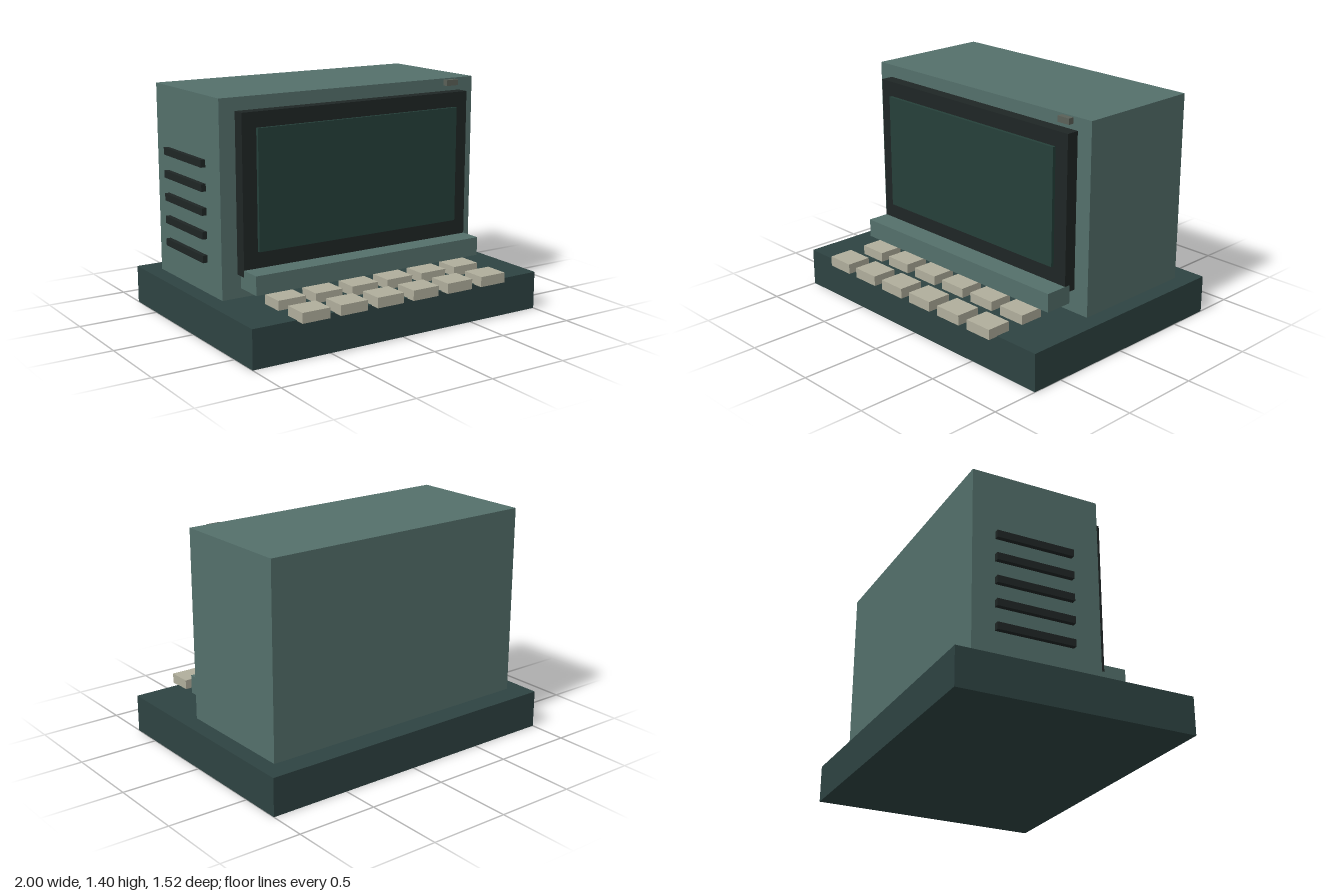
import * as THREE from 'three';

const material = (color) => new THREE.MeshStandardMaterial({ color });

// Box given by its extents along each axis
function block(name, [x0, x1], [y0, y1], [z0, z1], mat) {
  const mesh = new THREE.Mesh(new THREE.BoxGeometry(x1 - x0, y1 - y0, z1 - z0), mat);
  mesh.position.set((x0 + x1) / 2, (y0 + y1) / 2, (z0 + z1) / 2);
  mesh.name = name;
  return mesh;
}

export function createModel() {
  const model = new THREE.Group();
  model.name = 'deskTerminal';

  const shell = material(0x54706b);
  const baseMat = material(0x2e4342);
  const dark = material(0x1f2625);
  const glass = material(0x25403a);
  const keyMat = material(0xb0ae9c);
  const lampMat = material(0x5a6058);

  // Base slab, cabinet and display
  model.add(
    block('base', [-1, 1], [0, 0.233], [-0.762, 0.702], baseMat),
    block('cabinet', [-0.897, 0.895], [0.233, 1.4], [-0.622, 0.175], shell),
    block('bezel', [-0.796, 0.793], [0.375, 1.322], [0.17, 0.253], dark),
    block('screen', [-0.704, 0.702], [0.515, 1.23], [0.24, 0.273], glass),
    block('ledge', [-0.796, 0.793], [0.302, 0.416], [0.215, 0.391], shell),
    block('indicatorLamp', [0.673, 0.759], [1.356, 1.392], [0.174, 0.21], lampMat)
  );

  // Two rows of six keys
  const keys = new THREE.Group();
  keys.name = 'keys';
  for (const [z0, z1] of [[0.355, 0.505], [0.61, 0.763]]) {
    for (let i = 0; i < 6; i++) {
      const x = -0.631 + i * 0.249;
      keys.add(block('key', [x - 0.09, x + 0.09], [0.229, 0.291], [z0, z1], keyMat));
    }
  }
  model.add(keys);

  // Vent ribs on the right flank
  const vents = new THREE.Group();
  vents.name = 'vents';
  for (let i = 0; i < 5; i++) {
    const y = 0.442 + i * 0.141;
    vents.add(block('ventRib', [-0.926, -0.88], [y - 0.022, y + 0.022], [-0.482, 0], dark));
  }
  model.add(vents);

  return model;
}
